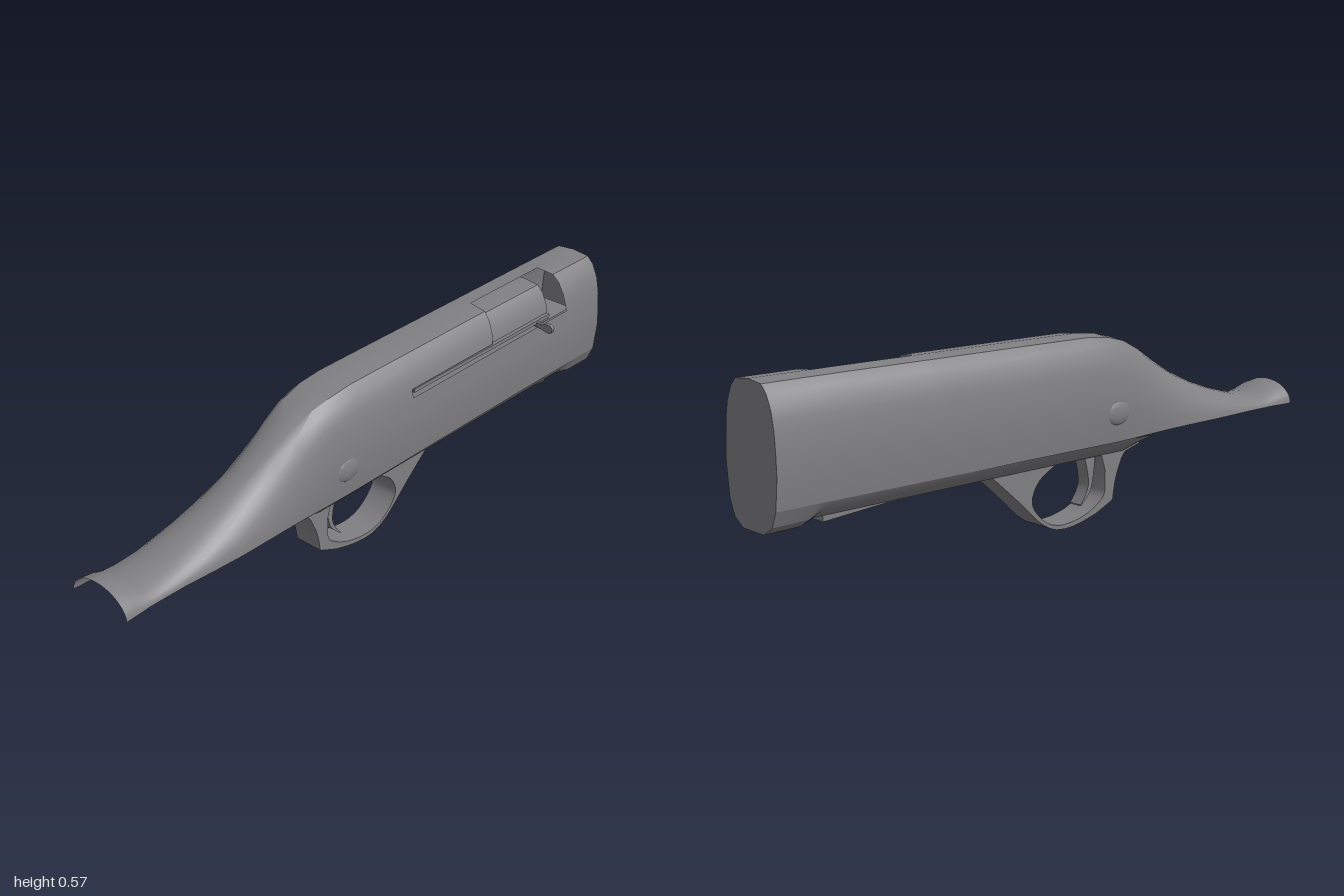
import * as THREE from 'three';
import { toCreasedNormals } from 'three/addons/utils/BufferGeometryUtils.js';

const CZ = -0.02; // centre plane of the model

export function createModel() {
  const model = new THREE.Group();
  const metal = new THREE.MeshStandardMaterial({ color: 0x808083, side: THREE.DoubleSide });
  metal.name = 'gunmetal grey';

  function add(name, geometry, x = 0, y = 0, z = CZ) {
    const mesh = new THREE.Mesh(geometry, metal);
    mesh.name = name;
    mesh.position.set(x, y, z);
    model.add(mesh);
    return mesh;
  }

  // Skin a list of equal-length cross-sections, leaving out the cells that skip() names
  function loft(rows, skip = () => false) {
    const n = rows[0].length, index = [];
    for (let i = 0; i < rows.length - 1; i++) {
      for (let j = 0; j < n - 1; j++) {
        if (skip(i, j)) continue;
        const a = i * n + j, b = a + n;
        index.push(a, b, b + 1, a, b + 1, a + 1);
      }
    }
    const g = new THREE.BufferGeometry();
    g.setAttribute('position', new THREE.Float32BufferAttribute(rows.flat(2), 3));
    g.setIndex(index);
    return toCreasedNormals(g, 0.55);
  }

  // Flat end facing +x from a list of [z, y] corners
  function endCap(points, x) {
    const g = new THREE.ShapeGeometry(new THREE.Shape(points.map(([z, y]) => new THREE.Vector2(-z, y))));
    return g.rotateY(Math.PI / 2).translate(x, 0, 0);
  }

  function extrude(points, width, holes = []) {
    const shape = new THREE.Shape(points.map(p => new THREE.Vector2(...p)));
    for (const h of holes) shape.holes.push(new THREE.Path(h.map(p => new THREE.Vector2(...p))));
    const g = new THREE.ExtrudeGeometry(shape, { depth: width, bevelEnabled: false });
    return toCreasedNormals(g.translate(0, 0, -width / 2), 0.6);
  }

  const smooth = (pts, n) => new THREE.SplineCurve(pts.map(p => new THREE.Vector2(...p)))
    .getPoints(n).map(p => [p.x, p.y]);

  // Half section of the receiver, from its lower edge to the crown: [half width, height]
  const half = [[0.105, 0.25], [0.115, 0.34], [0.113, 0.40], [0.109, 0.452], [0.104, 0.478],
    [0.0985, 0.505], [0.08, 0.545], [0.058, 0.567], [0, 0.573]];
  const mirrored = h => [...h, ...h.slice(0, -1).reverse().map(([z, y]) => [-z, y])];

  // Stations along the shell: x, crown height, half width, arch blend, slant of the station
  const stations = [
    [-1, 0.33, 0.105, 1], [-0.96, 0.324, 0.103, 1], [-0.92, 0.308, 0.1, 1], [-0.88, 0.302, 0.1, 1],
    [-0.8, 0.31, 0.101, 1], [-0.7, 0.337, 0.108, 1], [-0.6, 0.372, 0.113, 1], [-0.5, 0.417, 0.113, 0.9],
    [-0.42, 0.462, 0.113, 0.7], [-0.34, 0.51, 0.114, 0.4], [-0.27, 0.544, 0.117, 0.15],
    [-0.2, 0.562, 0.119, 0], [-0.12, 0.57, 0.119, 0], [0.09, 0.571, 0.118, 0],
    [0.44, 0.572, 0.116, 0, 0.04], [0.75, 0.573, 0.115, 0], [0.84, 0.573, 0.115, 0, -0.03],
    [1, 0.573, 0.115, 0],
  ];
  function shellRow([x, top, w, arch, slant = 0]) {
    const pts = half.map(([z, y], j) => {
      const a = j / 8 * Math.PI / 2;
      const bodyZ = z * w / 0.115, bodyY = 0.25 + (y - 0.25) * (top - 0.25) / 0.323;
      const archZ = w * Math.cos(a), archY = 0.26 + (top - 0.26) * Math.sin(a);
      return [THREE.MathUtils.lerp(bodyZ, archZ, arch), THREE.MathUtils.lerp(bodyY, archY, arch)];
    });
    return mirrored(pts).map(([z, y], j) => [x + slant * Math.min(j, 16 - j) / 8, y, z]);
  }

  // Shell with the handle slot and the ejection port cut out of its left side
  add('receiverShell', loft(stations.map(shellRow), (i, j) => {
    const x = stations[i][0];
    const slot = x >= 0.09 && x < 0.84 && j === 3;
    const port = x >= 0.44 && x < 0.84 && j > 3 && j < 8;
    return slot || port;
  }));

  // Underside and front end
  const bellySection = b => [[-0.105, 0.25], [-0.085, b + 0.024], [-0.047, b],
    [0.047, b], [0.085, b + 0.024], [0.105, 0.25]];
  const belly = [[-0.36, 0.222], [-0.28, 0.202], [0.85, 0.198], [0.89, 0.182], [1, 0.18]];
  add('receiverBelly', loft(belly.map(([x, b]) => bellySection(b).map(([z, y]) => [x, y, z]))));
  add('frontEnd', endCap([...mirrored(half), ...bellySection(0.18).slice(1, -1)], 1));

  // Bolt lying just beneath the shell
  const boltSection = mirrored(half.slice(2).map(([z, y]) => [z * 0.91, 0.4 + (y - 0.4) * 0.93]));
  add('bolt', loft([0.06, 0.745].map(x => boltSection.map(([z, y]) => [x, y, z]))));
  add('boltFace', endCap(boltSection, 0.745));
  add('portFloor', new THREE.BoxGeometry(0.14, 0.008, 0.2), 0.79, 0.446);
  add('slideBar', new THREE.BoxGeometry(0.64, 0.012, 0.012), 0.42, 0.468, CZ + 0.101);

  // Bolt handle: slim stem widening to a flat knob
  const handle = [[0.09, 0.006], [0.115, 0.007], [0.14, 0.012], [0.155, 0.0145], [0.163, 0.011], [0.167, 0.005]];
  const outline = [...handle, ...handle.slice().reverse().map(([z, r]) => [z, -r])];
  add('boltHandle', extrude(outline, 0.012).rotateY(-Math.PI / 2), 0.68, 0.461);

  // Safety swellings, one on each side
  for (const side of [1, -1]) {
    const swelling = add('safetyButton', new THREE.SphereGeometry(1, 12, 8), -0.19, 0.34, CZ + side * 0.112);
    swelling.scale.set(0.05, 0.038, 0.012);
  }

  // Trigger guard with its finger opening
  const guardOuter = [[0.24, 0.208], [-0.35, 0.226], [-0.35, 0.214], [-0.29, 0.198],
    ...smooth([[-0.275, 0.18], [-0.25, 0.12], [-0.238, 0.056]], 6),
    ...smooth([[-0.17, 0.026], [-0.1, 0.008], [-0.04, 0.002], [0.01, 0.01], [0.065, 0.043],
      [0.14, 0.113], [0.24, 0.2]], 18)];
  const guardHole = [[-0.19, 0.2], [-0.206, 0.15],
    ...smooth([[-0.205, 0.09], [-0.19, 0.065], [-0.125, 0.03], [-0.035, 0.015], [0.03, 0.032],
      [0.08, 0.078], [0.088, 0.118], [0.06, 0.165], [0, 0.2]], 24)];
  add('triggerGuard', extrude(guardOuter, 0.094, [guardHole]));

  // Curved trigger
  const triggerBack = smooth([[-0.19, 0.21], [-0.182, 0.15], [-0.168, 0.09], [-0.128, 0.05]], 8);
  const triggerFront = smooth([[-0.128, 0.054], [-0.153, 0.09], [-0.16, 0.13], [-0.14, 0.21]], 8);
  add('trigger', extrude([...triggerBack, ...triggerFront], 0.045));

  // Loading gate under the front half
  add('loadingGate', extrude([[0.2, 0.21], [0.25, 0.2], [0.6, 0.197], [0.82, 0.181], [0.82, 0.21]], 0.094));

  return model;
}
